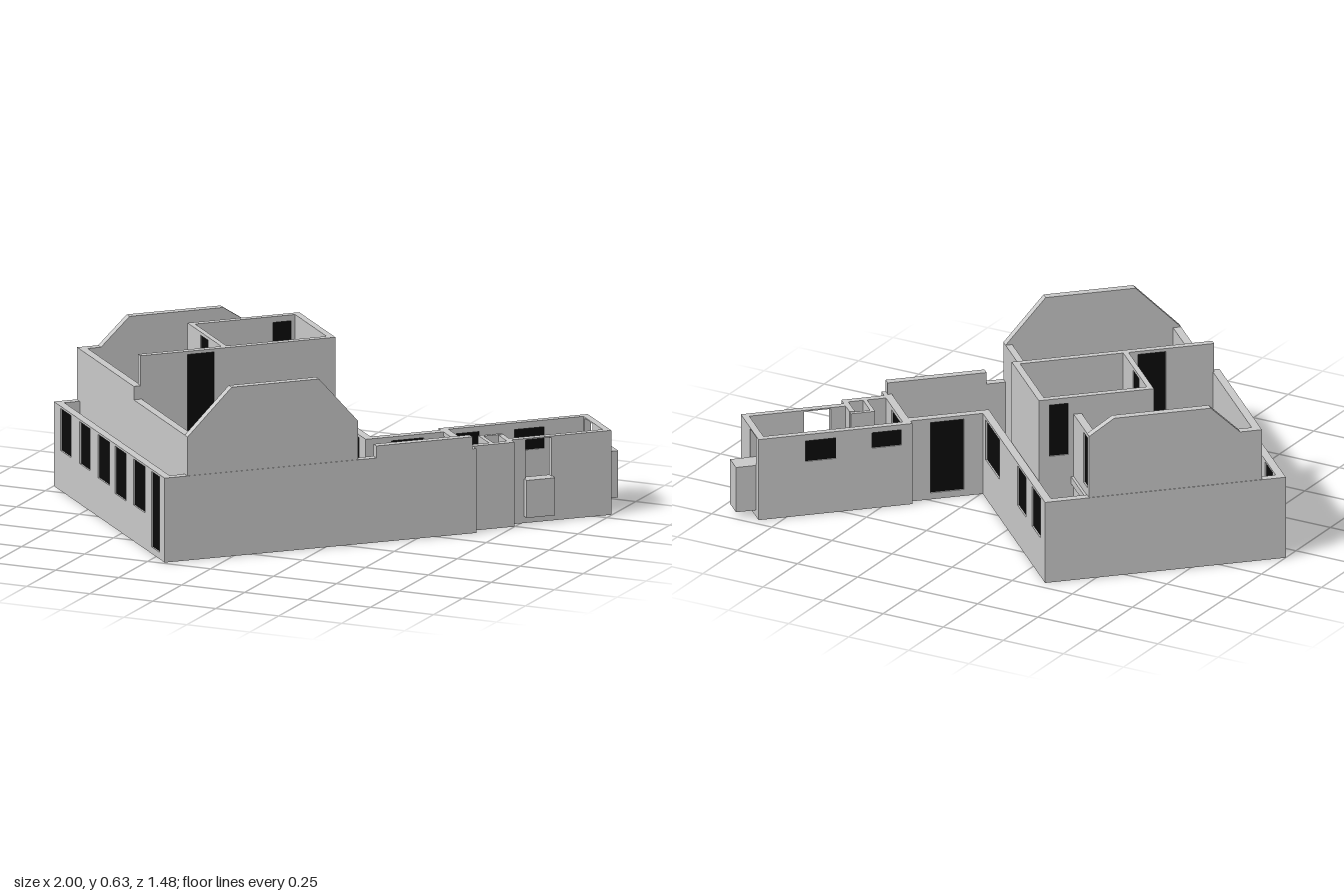
import * as THREE from 'three';

const grey = new THREE.MeshStandardMaterial({ color: 0xcccccc });
const black = new THREE.MeshStandardMaterial({ color: 0x0a0a0a });
const T = 0.03; // wall thickness

export function createModel() {
  const root = new THREE.Group();
  root.name = 'house';
  const plan = new THREE.Group(); // plan axes: x along the wing, z across it
  plan.name = 'building';
  plan.rotation.y = Math.PI / 4;
  root.add(plan);

  const box = (name, x0, x1, y0, y1, z0, z1, parent = plan, mat = grey) => {
    const m = new THREE.Mesh(new THREE.BoxGeometry(x1 - x0, y1 - y0, z1 - z0), mat);
    m.position.set((x0 + x1) / 2, (y0 + y1) / 2, (z0 + z1) / 2);
    m.name = name;
    parent.add(m);
    return m;
  };

  // Wall from an outline of (distance, height) points; openings are
  // [start, end, bottom, top, unglazed], filled with a dark panel unless unglazed.
  const outlineWall = (name, axis, at, outline, openings = [], t = T) => {
    const g = new THREE.Group();
    g.name = name;
    const shape = new THREE.Shape(outline.map(([a, b]) => new THREE.Vector2(a, b)));
    for (const [a, b, y0, y1, open] of openings) {
      shape.holes.push(new THREE.Path([[a, y0], [a, y1], [b, y1], [b, y0]]
        .map(([p, q]) => new THREE.Vector2(p, q))));
      if (!open) box('darkPanel', a, b, y0, y1, t * 0.2, t * 0.8, g, black);
    }
    const m = new THREE.Mesh(new THREE.ExtrudeGeometry(shape, { depth: t, bevelEnabled: false }), grey);
    m.name = 'wallPanel';
    g.add(m);
    if (axis === 'x') g.position.z = at;
    else {
      g.rotation.y = -Math.PI / 2;
      g.position.x = at + t;
    }
    plan.add(g);
  };
  const wall = (name, axis, at, s0, s1, y0, y1, openings, t) =>
    outlineWall(name, axis, at, [[s0, y0], [s1, y0], [s1, y1], [s0, y1]], openings, t);

  // Ground floor slabs
  box('mainFloor', -0.655, 0.245, 0, 0.025, -0.76, 0.39);
  box('linkFloor', 0.245, 0.545, 0, 0.025, 0.1, 0.39);
  box('wingFloor', 0.545, 0.705, 0, 0.025, 0.075, 0.355);
  box('wingEndFloor', 0.705, 1.09, 0, 0.025, 0.075, 0.32);

  // Main block outer walls
  const H = 0.315;
  const facade = [[-0.95, -0.875, 0.15], [-0.81, -0.735, 0.15], [-0.675, -0.59, 0.145],
    [-0.55, -0.47, 0.13], [-0.415, -0.33, 0.135], [-0.285, -0.225, 0.025]]
    .map(([a, b, y]) => [a * Math.SQRT2 + 0.655, b * Math.SQRT2 + 0.655, y, 0.307]);
  wall('windowFacade', 'z', -0.655, -0.76, 0.39, 0, H, facade);
  wall('sideWall', 'x', -0.76, -0.655, 0.245, 0, H);
  wall('longWall', 'x', 0.36, -0.655, 0.545, 0, H);
  wall('longWallParapet', 'x', 0.36, 0.16, 0.53, H, 0.36);
  wall('gardenWall', 'z', 0.215, -0.76, 0.13, 0, H,
    [[-0.13, 0.06, 0.15, 0.305], [-0.5, -0.38, 0.15, 0.305], [-0.7, -0.58, 0.15, 0.305]]);

  // Wing outer walls
  wall('linkWall', 'x', 0.1, 0.215, 0.52, 0, H, [[0.315, 0.44, 0.025, 0.3]]);
  wall('wingBackWall', 'x', 0.075, 0.515, 1.09, 0, H,
    [[0.8, 0.915, 0.21, 0.29], [0.555, 0.665, 0.235, 0.295]], 0.025);
  wall('wingDoorWall', 'z', 0.515, 0.1, 0.39, 0, H, [[0.11, 0.255, 0.025, 0.3]]);
  wall('wingStepWall', 'x', 0.33, 0.545, 0.705, 0, H, [], 0.025);
  wall('wingStepReturn', 'z', 0.685, 0.24, 0.355, 0, H, [], 0.02);
  wall('wingFrontWall', 'x', 0.295, 0.705, 1.09, 0, H, [[0.76, 0.86, 0.165, 0.31, true]], 0.025);
  wall('wingEndWall', 'z', 1.065, 0.075, 0.32, 0, H, [[0.11, 0.19, 0.2, 0.31, true]], 0.025);

  // Projecting bays and the closet in the wing
  box('frontBay', 0.755, 0.865, 0.025, 0.165, 0.3, 0.345);
  box('endBay', 1.07, 1.165, 0.025, 0.2, 0.11, 0.19);
  wall('closetSide', 'z', 0.615, 0.22, 0.33, 0.025, H, [], 0.015);
  wall('closetFront', 'x', 0.22, 0.615, 0.705, 0.025, H, [], 0.015);

  // Fittings in the open strip behind the facade
  for (const [a, b, h] of [[-0.71, -0.51, 0.07], [-0.3, -0.2, 0.1], [-0.17, -0.04, 0.07], [-0.02, 0.22, 0.07], [0.25, 0.35, 0.05]])
    box('stripFitting', -0.62, -0.585, 0.025, h, a, b);
  box('cornerFitting', 0.13, 0.2, 0.025, 0.12, -0.7, -0.6);
  box('cornerShelf', 0.15, 0.21, 0.025, 0.2, 0.16, 0.26);

  // Upper floor
  box('upperFloor', -0.566, 0.09, 0.285, 0.312, -0.735, 0.37);
  box('upperRoomFloor', 0.08, 0.21, 0.285, 0.312, -0.545, -0.17);
  outlineWall('upperStripWall', 'z', -0.566,
    [[-0.755, 0.025], [0.385, 0.025], [0.385, 0.46], [-0.17, 0.46], [-0.17, 0.51], [-0.755, 0.51]]);
  wall('upperCourtWall', 'z', 0.065, -0.18, 0.385, 0.025, 0.46, [], 0.025);
  wall('upperCornerWall', 'z', 0.05, -0.755, -0.54, 0.025, 0.555, [[-0.735, -0.68, 0.345, 0.54]]);

  // Gabled end walls
  outlineWall('longSideGable', 'x', 0.358,
    [[-0.566, H], [0.09, H], [0.09, 0.46], [-0.06, 0.63], [-0.396, 0.63], [-0.566, 0.46]]);
  outlineWall('farSideGable', 'x', -0.758,
    [[-0.566, H], [0.078, H], [0.078, 0.555], [-0.014, 0.615], [-0.375, 0.615], [-0.485, 0.51], [-0.566, 0.51]]);

  // Raised room, one wall reaching across to the strip wall
  wall('crossWall', 'x', -0.195, -0.54, 0.21, 0.025, 0.622, [[-0.36, -0.255, 0.325, 0.61]], 0.025);
  wall('roomFarWall', 'x', -0.545, -0.22, 0.21, 0.025, 0.622, [[0.1, 0.17, 0.4, 0.6]], 0.025);
  wall('roomInnerWall', 'z', -0.22, -0.545, -0.17, 0.3, 0.622, [[-0.41, -0.33, 0.325, 0.61]], 0.02);
  wall('roomOuterWall', 'z', 0.185, -0.545, -0.17, 0.285, 0.622, [], 0.025);

  return root;
}
